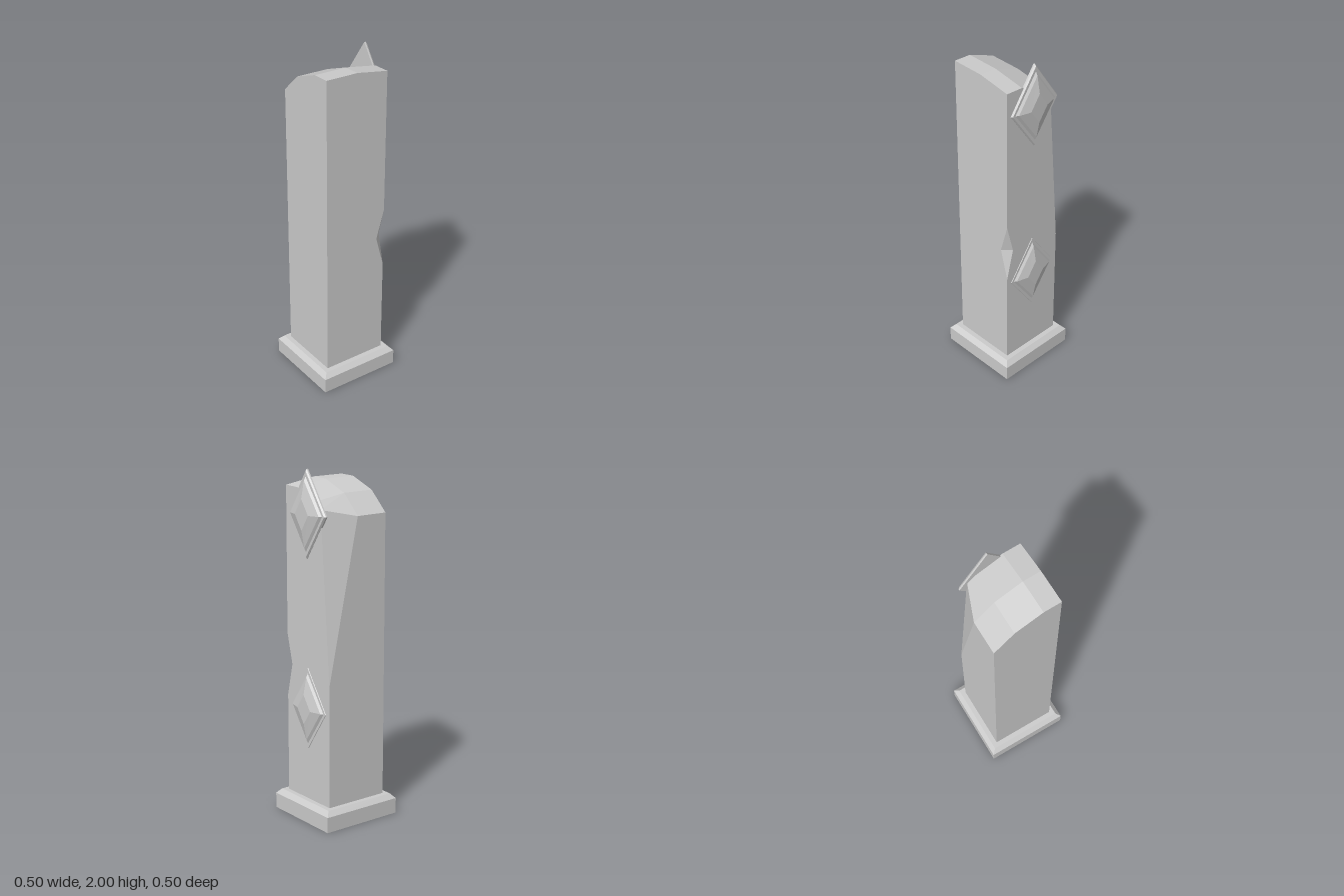
import * as THREE from 'three';

const material = new THREE.MeshStandardMaterial({ color: 0xcccccc, flatShading: true });

// Flat-faced mesh; each polygon is fanned from its first corner (counter-clockwise from outside)
function facetedMesh(name, polygons) {
  const positions = [];
  for (const p of polygons) {
    for (let i = 1; i < p.length - 1; i++) positions.push(...p[0], ...p[i], ...p[i + 1]);
  }
  const geometry = new THREE.BufferGeometry();
  geometry.setAttribute('position', new THREE.Float32BufferAttribute(positions, 3));
  geometry.computeVertexNormals();
  const mesh = new THREE.Mesh(geometry, material);
  mesh.name = name;
  return mesh;
}

// Square slab with optional taper, given half widths
function squareSlab(name, bottomHalf, topHalf, y0, y1) {
  const geometry = new THREE.CylinderGeometry(topHalf * Math.SQRT2, bottomHalf * Math.SQRT2, y1 - y0, 4);
  geometry.rotateY(Math.PI / 4);
  const mesh = new THREE.Mesh(geometry, material);
  mesh.name = name;
  mesh.position.y = (y0 + y1) / 2;
  return mesh;
}

// Square pillar with a worn sloping top, a sheared back corner and a chipped front edge
function createShaft() {
  const h = 0.195, b = 0.11;
  const xs = [-h, 0, h], drop = [0, 0.005, 0.04];
  const zs = [h, 0.09, -0.075, -h], crest = [1.94, 1.935, 1.87, 1.755];
  const top = (i, j) => [xs[i], crest[j] - drop[i], zs[j]];

  const chipFront = [0.145, 0.885, h], chipSide = [h, 0.885, 0.15];
  const chipTop = [h, 1.06, h], chipBottom = [h, 0.7, h];
  const shearTop = [h, 1.79, -0.12], shearBottom = [h, 0.82, -h];
  const [fl, fr, br, bl] = [[-h, b, h], [h, b, h], [h, b, -h], [-h, b, -h]];

  const polygons = [
    [chipFront, chipTop, top(2, 0), top(1, 0), top(0, 0), fl, fr, chipBottom], // front
    [chipSide, chipBottom, fr, br, shearBottom, shearTop, top(2, 2), top(2, 1), top(2, 0), chipTop], // +x side
    [br, bl, top(0, 3), top(1, 3), shearBottom], // back
    [bl, fl, top(0, 0), top(0, 1), top(0, 2), top(0, 3)], // -x side
    [shearBottom, top(1, 3), shearTop], // sheared corner
    [chipTop, chipFront, chipSide],
    [chipBottom, chipSide, chipFront],
    [fl, bl, br, fr],
  ];
  // Worn top surface
  for (let j = 0; j < 3; j++) {
    for (let i = 0; i < 2; i++) {
      const corner = i === 1 && j === 2 ? shearTop : top(i + 1, j + 1);
      polygons.push([top(i, j), top(i + 1, j), corner, top(i, j + 1)]);
    }
  }
  return facetedMesh('shaft', polygons);
}

// Stepped diamond stud facing +x: [half width, half height, depth] per ring
function createStud(name, x, y) {
  const rings = [
    [0.17, 0.245, 0], [0.17, 0.245, 0.009], [0.162, 0.234, 0.018], [0.145, 0.205, 0.018],
    [0.13, 0.183, 0.029], [0.06, 0.086, 0.048],
  ].map(([w, t, d]) => [[d, t, 0], [d, 0, w], [d, -t, 0], [d, 0, -w]]);
  const polygons = [[...rings[0]].reverse(), rings[rings.length - 1]];
  for (let r = 0; r < rings.length - 1; r++) {
    for (let i = 0; i < 4; i++) {
      const k = (i + 1) % 4;
      polygons.push([rings[r][i], rings[r][k], rings[r + 1][k], rings[r + 1][i]]);
    }
  }
  const stud = facetedMesh(name, polygons);
  stud.position.set(x, y, 0);
  return stud;
}

export function createModel() {
  const group = new THREE.Group();
  group.name = 'stonePillar';
  group.add(
    squareSlab('plinth', 0.25, 0.25, 0, 0.09),
    squareSlab('plinthBevel', 0.25, 0.224, 0.09, 0.118),
    createShaft(),
    createStud('upperStud', 0.187, 1.755),
    createStud('lowerStud', 0.18, 0.657),
  );
  return group;
}
